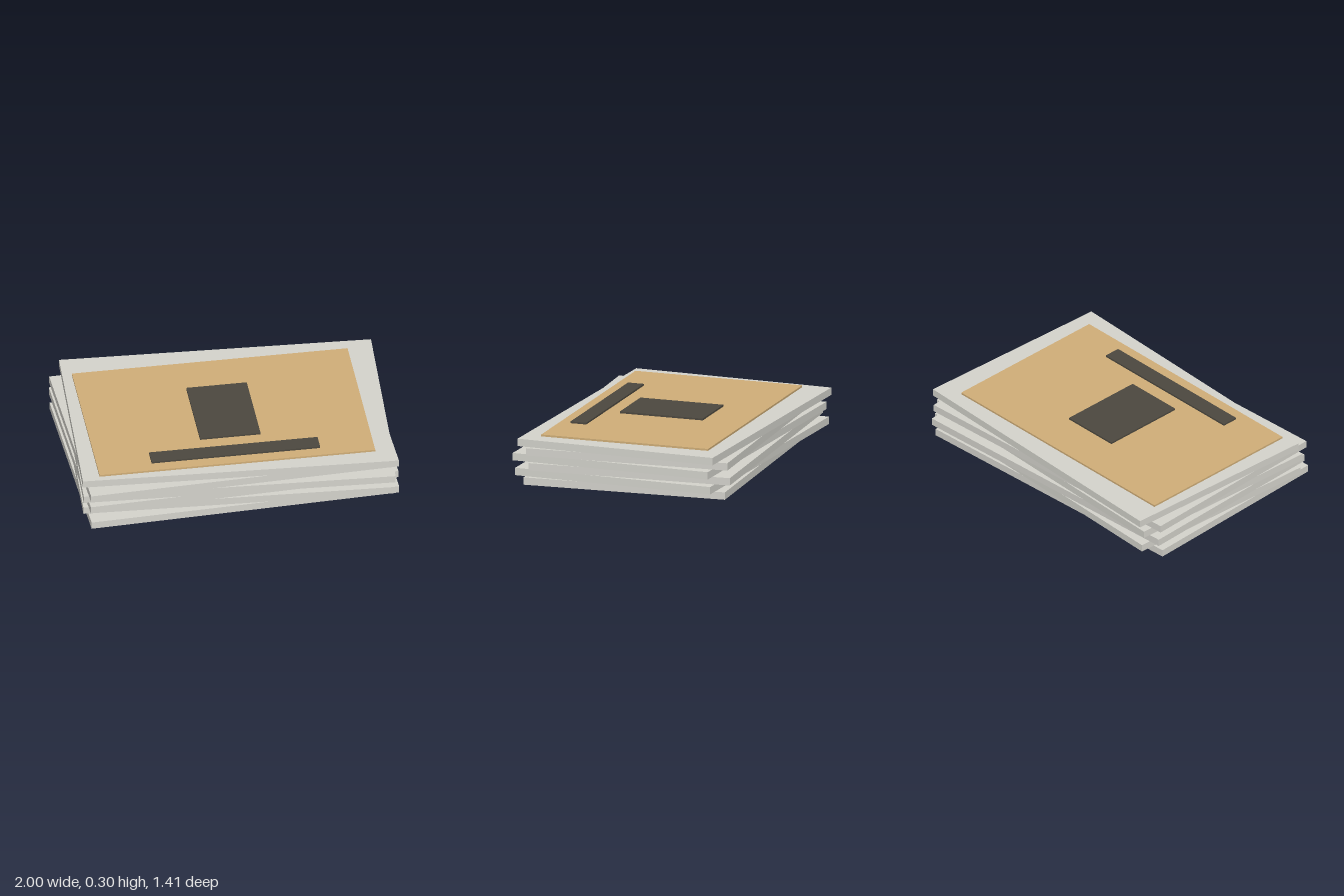
import * as THREE from 'three';

const SLAB = { width: 1.923, height: 0.0463, depth: 1.291, count: 6 };
const TWIST = THREE.MathUtils.degToRad(2.5);

function box(name, size, position, material) {
  const mesh = new THREE.Mesh(new THREE.BoxGeometry(...size), material);
  mesh.name = name;
  mesh.position.set(...position);
  return mesh;
}

export function createModel() {
  const model = new THREE.Group();
  model.name = 'stackedBoards';

  const board = new THREE.MeshStandardMaterial({ color: 0xd4d3cc });
  const tan = new THREE.MeshStandardMaterial({ color: 0xd0ae78 });
  const dark = new THREE.MeshStandardMaterial({ color: 0x4c483f });

  // Stack of boards, twisted alternately and shifted a little
  const stack = new THREE.Group();
  stack.name = 'stack';
  for (let i = 0; i < SLAB.count; i++) {
    const side = i % 2 ? 1 : -1;
    const slab = box(
      `board${i + 1}`,
      [SLAB.width, SLAB.height, SLAB.depth],
      [side * 0.0105, (i + 0.5) * SLAB.height, 0.002 - (i % 3 - 1) * 0.016],
      board
    );
    slab.rotation.y = -side * TWIST;
    stack.add(slab);
  }
  model.add(stack);

  // Cover sheet with a square panel and a strip on it
  const top = SLAB.count * SLAB.height;
  model.add(
    box('coverSheet', [1.71, 0.012, 1.085], [-0.015, top + 0.006, 0.013], tan),
    box('coverPanel', [0.375, 0.011, 0.54], [-0.016, top + 0.0175, 0.014], dark),
    box('coverStrip', [1.045, 0.011, 0.103], [-0.013, top + 0.0175, 0.432], dark)
  );

  return model;
}
